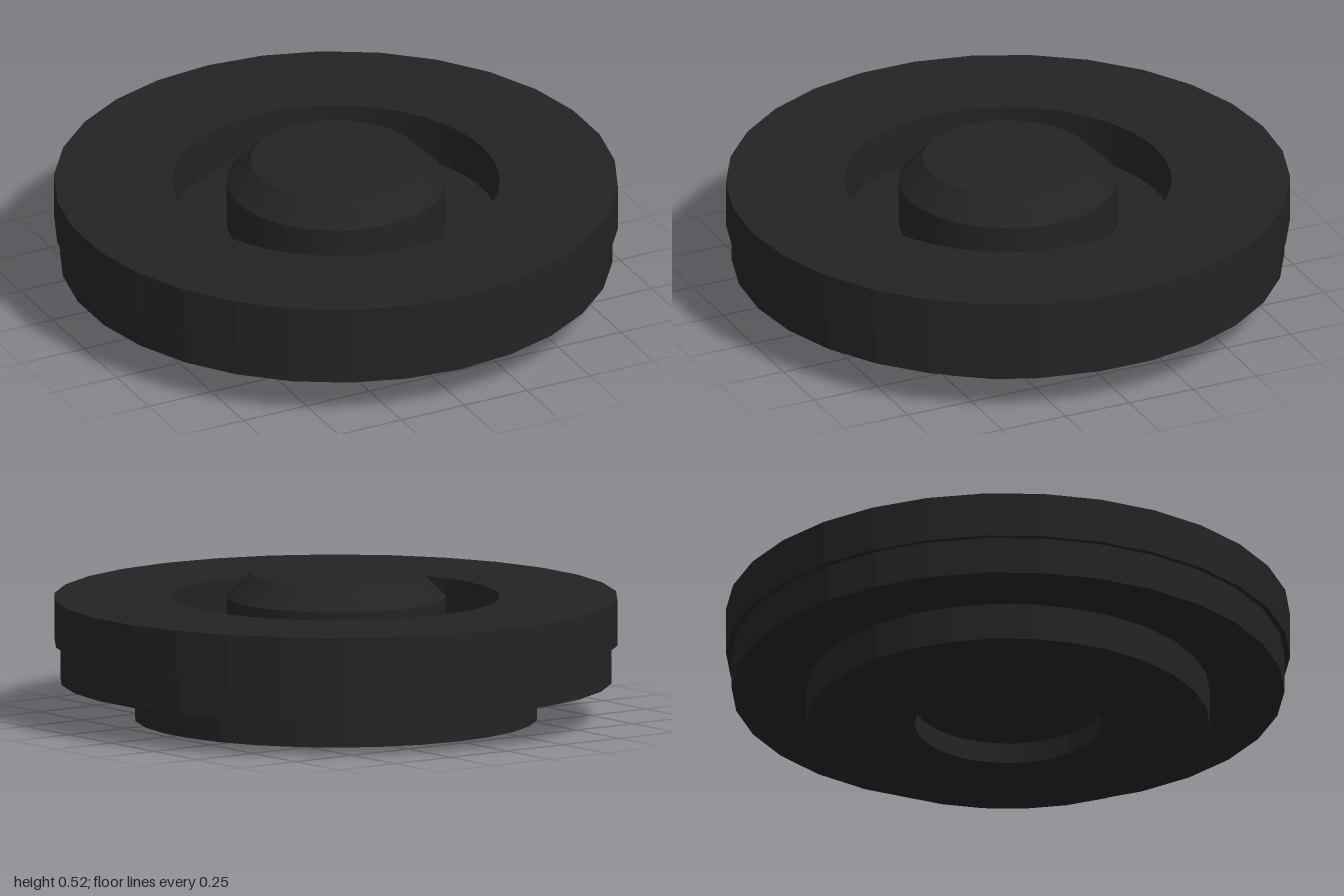
import * as THREE from 'three';

// Regular polygon points with a corner on the z axis
function ring(radius, sides) {
  return Array.from({ length: sides }, (_, i) => {
    const a = Math.PI / 2 + (i / sides) * Math.PI * 2;
    return new THREE.Vector2(Math.cos(a) * radius, Math.sin(a) * radius);
  });
}

export function createModel() {
  const group = new THREE.Group();
  const black = new THREE.MeshStandardMaterial({ color: 0x232323 });
  black.name = 'charcoal black';

  function add(name, geometry) {
    const mesh = new THREE.Mesh(geometry, black);
    mesh.name = name;
    group.add(mesh);
  }

  // Flat disc from y0 to y1, optionally with a round hole
  function disc(name, radius, y0, y1, hole = 0) {
    const shape = new THREE.Shape(ring(radius, 30));
    if (hole) shape.holes.push(new THREE.Path(ring(hole, 60)));
    const geo = new THREE.ExtrudeGeometry(shape, { depth: y1 - y0, bevelEnabled: false });
    geo.rotateX(-Math.PI / 2).translate(0, y0, 0);
    add(name, geo);
  }

  // Stepped foot with a shallow round recess underneath
  disc('footRim', 0.715, 0, 0.076, 0.33);
  disc('footCore', 0.715, 0.076, 0.135);

  // Main body and the wider ring on top, leaving a groove around the hub
  disc('lowerDisc', 0.98, 0.135, 0.27);
  disc('upperRing', 1, 0.27, 0.435, 0.58);

  // Central hub with a chamfered cap
  const wall = new THREE.CylinderGeometry(0.388, 0.388, 0.165, 60, 1, true);
  add('hubWall', wall.translate(0, 0.3525, 0));
  const cap = new THREE.CylinderGeometry(0.302, 0.388, 0.085, 60);
  add('hubCap', cap.translate(0, 0.4775, 0));

  return group;
}
